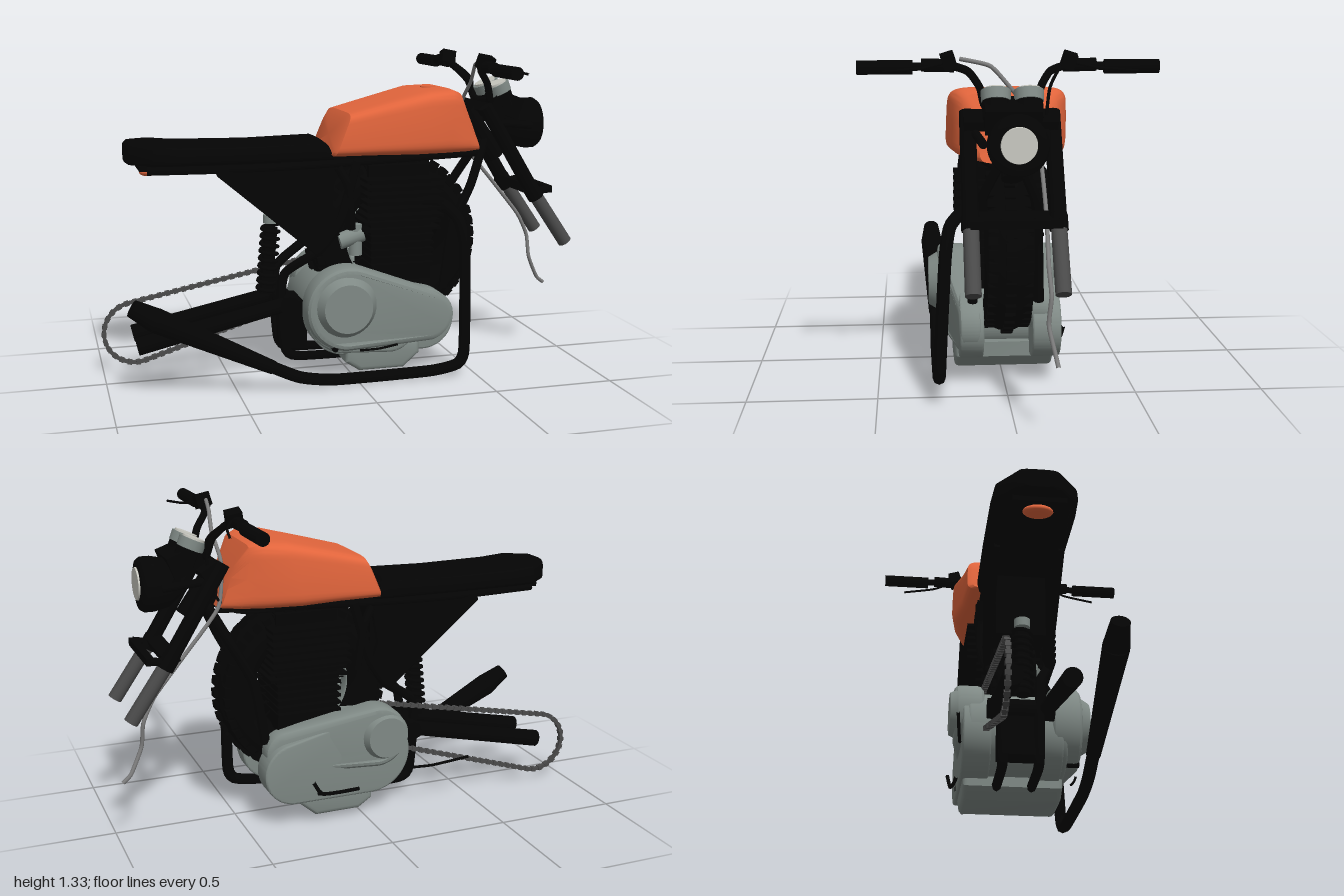
import * as THREE from 'three';
import { mergeGeometries, toCreasedNormals } from 'three/addons/utils/BufferGeometryUtils.js';

const mat = (name, color) => { const m = new THREE.MeshStandardMaterial({ color }); m.name = name; return m; };
const V = (p) => new THREE.Vector3(...p);

export function createModel() {
  const black = mat('black', 0x040404), orange = mat('orange', 0xe2653c), alloy = mat('alloy', 0x7f8985);
  const steel = mat('dark steel', 0x4a4a4a), cable = mat('cable grey', 0x7c7c7c), glass = mat('pale glass', 0xcacac2);
  const root = new THREE.Group();
  const add = (name, geo, m, pos = [0, 0, 0], rot = [0, 0, 0], parent = root) => {
    const mesh = new THREE.Mesh(geo, m);
    mesh.name = name; mesh.position.set(...pos); mesh.rotation.set(...rot);
    parent.add(mesh);
    return mesh;
  };
  const box = (name, m, size, pos, rot) => add(name, new THREE.BoxGeometry(...size), m, pos, rot);
  const tube = (name, m, pts, r) => add(name,
    new THREE.TubeGeometry(new THREE.CatmullRomCurve3(pts.map(V), false, 'catmullrom', 0.3), pts.length * 8, r, 8), m);
  // straight rod between two points
  const rodGeo = (a, b, r0, r1 = r0, seg = 16) => {
    const d = V(b).sub(V(a)), g = new THREE.CylinderGeometry(r1, r0, d.length(), seg);
    g.applyQuaternion(new THREE.Quaternion().setFromUnitVectors(new THREE.Vector3(0, 1, 0), d.clone().normalize()));
    return g.translate(...V(a).addScaledVector(d, 0.5).toArray());
  };
  const rod = (name, m, a, b, r0, r1) => add(name, rodGeo(a, b, r0, r1), m);
  const sides = (fn) => [1, -1].forEach(fn);

  // outline round two circles joined by tangents
  const hull = (x1, y1, r1, x2, y2, r2) => {
    const phi = Math.atan2(y2 - y1, x2 - x1), a = Math.acos((r1 - r2) / Math.hypot(x2 - x1, y2 - y1));
    const s = new THREE.Shape();
    s.absarc(x1, y1, r1, phi + a, phi - a + Math.PI * 2, false);
    s.absarc(x2, y2, r2, phi - a, phi + a, false);
    s.closePath();
    return s;
  };
  const extrude = (shape, z0, z1, bevel = 0.015) => toCreasedNormals(new THREE.ExtrudeGeometry(shape, {
    depth: z1 - z0 - 2 * bevel, bevelEnabled: bevel > 0, bevelSize: bevel, bevelOffset: -bevel,
    bevelThickness: bevel, bevelSegments: 3, curveSegments: 24 }).translate(0, 0, z0 + bevel), 0.6);
  const poly = (pts) => new THREE.Shape(pts.map((p) => new THREE.Vector2(...p)));

  // loft of rounded box sections: [bottom x, top x, bottom y, top y, half width]
  const loft = (secs, power, zc) => {
    const n = 48, pos = [], idx = [], pw = (v) => Math.sign(v) * Math.abs(v) ** (2 / power);
    for (const [xb, xt, y0, y1, w] of secs) for (let j = 0; j < n; j++) {
      const t = j / n * Math.PI * 2, k = (pw(Math.sin(t)) + 1) / 2;
      pos.push(xb + (xt - xb) * k, y0 + (y1 - y0) * k, zc + w * pw(Math.cos(t)) * (1 - 0.04 * k));
    }
    for (let i = 0; i < secs.length - 1; i++) for (let j = 0; j < n; j++) {
      const a = i * n + j, c = i * n + (j + 1) % n;
      idx.push(a, a + n, c, a + n, c + n, c);
    }
    [0, secs.length - 1].forEach((i) => {
      const [xb, xt, y0, y1] = secs[i], c = pos.length / 3;
      pos.push((xb + xt) / 2, (y0 + y1) / 2, zc);
      for (let j = 0; j < n; j++) {
        const a = i * n + j, b = i * n + (j + 1) % n;
        idx.push(c, ...(i ? [b, a] : [a, b]));
      }
    });
    const g = new THREE.BufferGeometry();
    g.setAttribute('position', new THREE.Float32BufferAttribute(pos, 3));
    g.setIndex(idx);
    return toCreasedNormals(g, 0.6);
  };

  // bodywork
  add('fuelTank', loft([[-.09, -.03, .925, 1.07, .175], [-.08, -.01, .92, 1.095, .195], [.1, .14, .92, 1.135, .208],
    [.26, .32, .92, 1.18, .238], [.4, .42, .92, 1.185, .218], [.5, .46, .92, 1.17, .185], [.57, .51, .92, 1.08, .12]], 6.5, -.01), orange);
  add('fuelCap', new THREE.CylinderGeometry(.038, .038, .012, 24), orange, [.38, 1.179, -.02]);
  add('seat', loft([[-.9, -.9, .915, .985, .055], [-.885, -.885, .905, .998, .085], [-.8, -.8, .9, .997, .158], [-.7, -.7, .9, .987, .165],
    [-.4, -.4, .9, .982, .165], [-.12, -.12, .9, .99, .16], [-.07, -.1, .9, .975, .15]], 4.5, -.007), black);
  add('tailLight', new THREE.SphereGeometry(.052, 20, 12).scale(1, .4, 1.1), orange, [-.79, .877, 0], [0, 0, .2]);
  box('tailBase', black, [.3, .02, .2], [-.7, .895, 0]);
  sides((s) => add('sidePanel', extrude(poly([[-.55, .86], [-.15, .52], [-.05, .6], [-.09, .72], [-.06, .89], [-.54, .89]]), -.012, .012, .004), black, [0, 0, s * .125]));
  box('airBox', black, [.2, .26, .2], [-.17, .76, 0]);

  // frame
  sides((s) => {
    tube('seatRail', black, [[-.82, .885, s * .1], [-.4, .885, s * .13], [0, .895, s * .13], [.57, .905, s * .05]], .016);
    tube('cradleTube', black, [[.02, .9, s * .14], [-.05, .66, s * .14], [-.13, .54, s * .12], [-.27, .44, s * .08],
      [-.285, .3, s * .07], [-.27, .12, s * .07], [-.22, .08, s * .07], [.05, .075, s * .07]], .02);
    tube('downTube', black, [[.62, .96, s * .02], [.53, .78, s * .1], [.44, .6, s * .12], [.4, .35, s * .13]], .02);
    rod('swingArm', black, [-.88, .18, s * .1], [-.24, .32, s * .1], .036, .03);
    tube('panelBrace', black, [[-.06, .88, s * .14], [-.02, .8, s * .15], [0, .62, s * .13]], .018);
  });
  rod('swingArmPivot', black, [-.26, .31, -.13], [-.26, .31, .13], .04);
  rod('backboneTube', black, [-.05, .9, 0], [.62, .95, 0], .035);
  rod('steeringHead', black, [.54, 1.08, 0], [.68, .88, 0], .04);
  box('batteryTray', black, [.1, .2, .18], [-.23, .22, 0]);

  // rear shock
  rod('shockBody', black, [-.335, .34, 0], [-.31, .62, 0], .028);
  add('shockCap', new THREE.CylinderGeometry(.032, .032, .035, 20), alloy, [-.31, .655, 0]);
  const coil = [];
  for (let i = 0; i <= 72; i++) {
    const t = i / 72, a = t * Math.PI * 18;
    coil.push([-.335 + .025 * t + .036 * Math.cos(a), .35 + .28 * t, .036 * Math.sin(a)]);
  }
  tube('shockSpring', black, coil, .008);

  // drive chain made of small links
  const path = hull(-.865, .175, .13, -.1, .37, .085).getSpacedPoints(130), links = [];
  for (let i = 0; i < 130; i++) {
    const a = path[i], b = path[i + 1], d = Math.hypot(b.x - a.x, b.y - a.y);
    links.push(new THREE.BoxGeometry(d * 1.05, i % 2 ? .014 : .019, i % 2 ? .014 : .022)
      .rotateZ(Math.atan2(b.y - a.y, b.x - a.x)).translate((a.x + b.x) / 2, (a.y + b.y) / 2, -.13));
  }
  add('driveChain', mergeGeometries(links), steel);

  // engine covers narrow towards the front
  const cover = (name, shape, z0, z1) => {
    const g = extrude(shape, z0, z1, .025), p = g.attributes.position;
    for (let i = 0; i < p.count; i++) {
      p.setZ(i, p.getZ(i) * (1 - .28 * THREE.MathUtils.smoothstep(p.getX(i), 0, .42)));
    }
    return add(name, toCreasedNormals(g, .5), alloy);
  };
  add('crankcase', extrude(hull(-.03, .28, .17, .15, .21, .11), -.2, .2), alloy);
  add('leftCaseHalf', extrude(hull(-.03, .27, .17, .3, .23, .13), .085, .18, .008), alloy);
  add('rightCaseHalf', extrude(hull(-.03, .27, .17, .3, .23, .13), -.218, -.105, .008), alloy);
  cover('leftEngineCover', hull(-.04, .31, .175, .33, .24, .105), .13, .255);
  add('leftRoundCover', new THREE.CylinderGeometry(.1, .13, .05, 40), alloy, [-.055, .325, .268], [Math.PI / 2, 0, 0]);
  cover('rightEngineCover', hull(-.05, .35, .13, .32, .31, .09), -.25, -.13);
  add('rightRoundCover', new THREE.CylinderGeometry(.085, .1, .03, 40), alloy, [-.085, .35, -.252], [-Math.PI / 2, 0, 0]);
  add('sump', extrude(poly([[.02, .03], [.21, .03], [.28, .09], [.28, .15], [-.04, .15], [-.04, .07]]), -.205, .195, .02), alloy);
  for (let i = 0; i < 13; i++) {
    box('coolingFin', black, [i > 4 ? .33 : .27, .012, i > 6 ? .38 : .3], [.215, .46 + i * .03, 0]);
  }
  box('cylinderBlock', black, [.26, .42, .25], [.215, .6, 0]);
  box('cylinderHead', black, [.26, .07, .22], [.21, .84, 0]);
  rod('carburettor', alloy, [-.04, .56, .08], [.06, .59, .08], .035);
  rod('carburettorBowl', alloy, [.03, .5, .08], [.03, .63, .08], .028);

  // wheel with knobbed tyre and wire spokes
  const wheel = new THREE.Group();
  wheel.name = 'wheel'; wheel.position.set(.21, .55, -.01); root.add(wheel);
  const profile = [];
  for (let i = 0; i <= 20; i++) {
    const a = i / 20 * Math.PI * 2;
    profile.push(new THREE.Vector2(.278 + .08 * Math.cos(a), .098 * Math.sin(a)));
  }
  add('tyre', new THREE.LatheGeometry(profile, 64).rotateX(Math.PI / 2), black, [0, 0, 0], [0, 0, 0], wheel);
  const knobs = [], spokes = [];
  for (let i = 0; i < 44; i++) for (const k of [-1, 0, 1]) {
    const a = (i + (k ? .5 : 0)) / 44 * Math.PI * 2;
    knobs.push(new THREE.BoxGeometry(.026, .032, .04).translate(k ? .333 : .358, 0, k * .066).rotateZ(a));
  }
  for (let i = 0; i < 36; i++) {
    const a = i / 36 * Math.PI * 2, b = a + (i % 4 < 2 ? .5 : -.5), z = i % 2 ? .05 : -.05;
    spokes.push(rodGeo([.05 * Math.cos(b), .05 * Math.sin(b), z], [.225 * Math.cos(a), .225 * Math.sin(a), 0], .003, .003, 6));
  }
  add('treadBlocks', mergeGeometries(knobs), black, [0, 0, 0], [0, 0, 0], wheel);
  add('spokes', mergeGeometries(spokes), black, [0, 0, 0], [0, 0, 0], wheel);
  add('rim', new THREE.TorusGeometry(.215, .014, 8, 64).scale(1, 1, 3), black, [0, 0, 0], [0, 0, 0], wheel);
  add('hub', new THREE.CylinderGeometry(.055, .055, .14, 24), steel, [0, 0, 0], [Math.PI / 2, 0, 0], wheel);
  // bright rear band of the rim
  add('rimBand', new THREE.TorusGeometry(.2, .007, 8, 24, 1.5).scale(1, 1, 5), alloy, [0, 0, 0], [0, 0, 2.4], wheel);

  // exhaust
  tube('exhaustPipe', black, [[.3, .72, .1], [.37, .72, .15], [.43, .66, .215], [.455, .55, .235], [.455, .3, .25], [.45, .1, .26],
    [.42, .05, .262], [.3, .03, .262], [-.1, .028, .262], [-.25, .05, .26], [-.38, .11, .26]], .025);
  rod('muffler', black, [-.36, .1, .26], [-.82, .33, .265], .028, .05);
  rod('mufflerTip', black, [-.82, .33, .265], [-.91, .385, .265], .05, .035);

  // front fork and clamps
  sides((s) => {
    const z = s * .155;
    rod('forkUpper', black, [.565, 1.11, z], [.8, .725, z], .03, .031);
    rod('forkLower', steel, [.8, .73, z], [.945, .52, z], .029);
    rod('forkCollar', black, [.775, .765, z], [.805, .718, z], .034);
    rod('headlightBracket', black, [.62, 1.04, s * .13], [.79, 1.02, s * .11], .016);
    rod('braceArm', black, [.785, .74, z], [.86, .755, z], .016);
  });
  box('upperClamp', black, [.08, .04, .34], [.61, 1.085, 0], [0, 0, -.55]);
  box('lowerClamp', black, [.06, .035, .32], [.775, .752, 0], [0, 0, -.3]);
  box('forkBrace', black, [.03, .03, .32], [.86, .752, 0]);
  box('instrumentMount', black, [.13, .09, .2], [.69, 1.11, 0], [0, 0, -.35]);

  // headlight and gauges
  add('headlightShell', new THREE.LatheGeometry([[0, 0], [.06, .005], [.095, .05], [.108, .11], [.108, .145], [.098, .16], [.066, .165], [0, .165]]
    .map((p) => new THREE.Vector2(...p)), 40), black, [.7, 1.02, -.008], [0, 0, -Math.PI / 2]);
  add('headlightLens', new THREE.CylinderGeometry(.063, .065, .009, 36), glass, [.867, 1.025, -.008], [0, 0, -Math.PI / 2]);
  sides((s) => {
    const z = s * .059 - .002;
    rod('gaugeBase', black, [.69, 1.1, z], [.666, 1.157, z], .05);
    rod('gauge', alloy, [.666, 1.157, z], [.65, 1.193, z], .053, .055);
    rod('gaugeFace', glass, [.65, 1.193, z], [.647, 1.2, z], .045);
  });

  // handlebars, grips and levers
  tube('handlebar', black, [[.53, 1.27, .4], [.53, 1.275, .22], [.545, 1.255, .15], [.59, 1.2, .11], [.61, 1.13, .09], [.61, 1.12, 0],
    [.61, 1.13, -.09], [.59, 1.2, -.11], [.545, 1.255, -.15], [.53, 1.275, -.22], [.53, 1.27, -.4]], .015);
  sides((s) => {
    rod('grip', black, [.53, 1.27, s * .35], [.53, 1.27, s * .553], .026);
    rod('switchHousing', black, [.53, 1.275, s * .2], [.53, 1.278, s * .32], .024);
    box('leverClamp', black, [.06, .055, .05], [.535, 1.293, s * .22], [.3 * s, 0, -.2]);
    tube('lever', black, [[.55, 1.285, s * .24], [.59, 1.27, s * .32], [.62, 1.26, s * .46]], .005);
  });
  tube('brakeHose', cable, [[.53, 1.3, .18], [.55, 1.275, .07], [.56, 1.2, 0], [.55, 1.1, -.08], [.575, .93, -.115], [.72, .75, -.12],
    [.84, .6, -.115], [.89, .5, -.12], [.9, .4, -.11], [.95, .3, -.13], [.985, .27, -.135]], .008);
  tube('throttleCable', black, [[.53, 1.29, -.2], [.62, 1.2, -.14], [.6, 1, -.12], [.5, .9, -.1], [.2, .88, -.08]], .006);

  // foot controls
  tube('gearLever', black, [[0, .14, .255], [.08, .143, .26], [.16, .155, .26]], .005);
  rod('leftFootPeg', black, [-.1, .15, .14], [-.1, .15, .25], .012);
  tube('brakePedal', black, [[.03, .13, -.225], [.12, .13, -.23], [.2, .14, -.24], [.24, .2, -.25]], .008);
  tube('kickLever', black, [[-.2, .19, -.23], [-.3, .19, -.24], [-.46, .21, -.255]], .006);
  rod('rightFootPeg', black, [.2, .135, -.14], [.2, .135, -.22], .012);

  return root;
}
